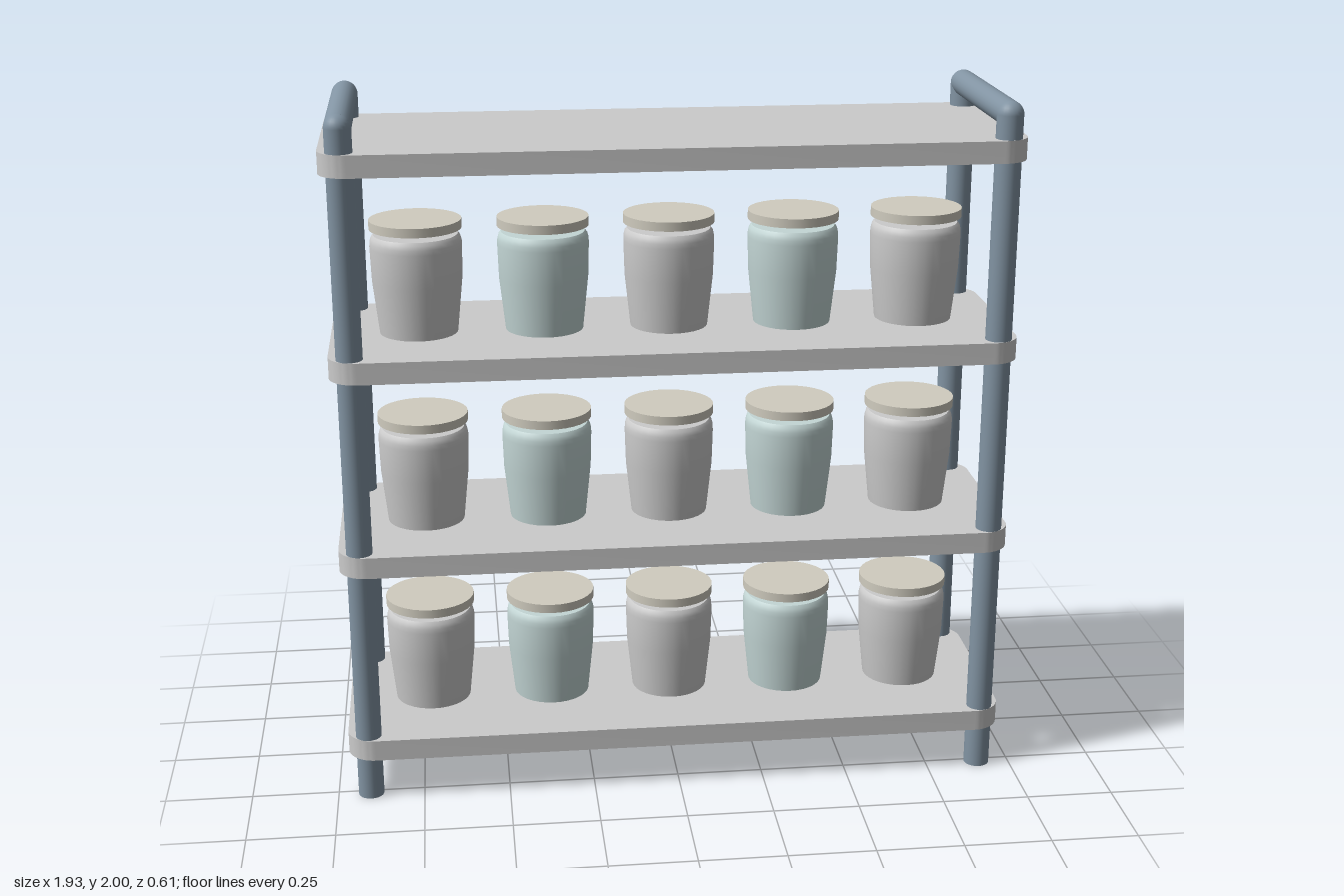
import * as THREE from 'three';
import { toCreasedNormals } from 'three/addons/utils/BufferGeometryUtils.js';

const POST_X = 0.905, POST_Z = 0.263, POST_R = 0.037, TOP_Y = 1.963;
const SHELF_W = 0.965, SHELF_D = 0.305, SHELF_T = 0.062, SHELF_CORNER = 0.08;
const SHELF_Y = [0.125, 0.695, 1.265, 1.835];

const grey = new THREE.MeshStandardMaterial({ color: 0xcccccc });
const steel = new THREE.MeshStandardMaterial({ color: 0x8294a3 });
const teal = new THREE.MeshStandardMaterial({ color: 0xc3d6d5 });
const cream = new THREE.MeshStandardMaterial({ color: 0xd0ccbf });

function addMesh(parent, name, geometry, material, x = 0, y = 0, z = 0) {
  const mesh = new THREE.Mesh(geometry, material);
  mesh.name = name;
  mesh.position.set(x, y, z);
  parent.add(mesh);
  return mesh;
}

// Rounded rectangle board lying flat, its underside at y = 0
function shelfGeometry() {
  const w = SHELF_W, d = SHELF_D, r = SHELF_CORNER;
  const shape = new THREE.Shape();
  shape.absarc(w - r, d - r, r, 0, Math.PI / 2);
  shape.absarc(-w + r, d - r, r, Math.PI / 2, Math.PI);
  shape.absarc(-w + r, -d + r, r, Math.PI, Math.PI * 1.5);
  shape.absarc(w - r, -d + r, r, Math.PI * 1.5, Math.PI * 2);
  const geometry = new THREE.ExtrudeGeometry(shape, { depth: SHELF_T, bevelEnabled: false, curveSegments: 8 });
  return toCreasedNormals(geometry.rotateX(-Math.PI / 2), 0.6);
}

// Tapered jar body with a small rounded shoulder, closed at both ends
function jarGeometry() {
  const profile = [
    [0, 0], [0.111, 0], [0.127, 0.15], [0.13, 0.25], [0.129, 0.264],
    [0.126, 0.276], [0.119, 0.285], [0, 0.285],
  ].map(([r, y]) => new THREE.Vector2(r, y));
  return toCreasedNormals(new THREE.LatheGeometry(profile, 32), 0.7);
}

export function createModel() {
  const model = new THREE.Group();
  model.name = 'jarRack';

  // Two end frames: a pair of posts joined by a handle bar with round elbows
  const postGeo = new THREE.CylinderGeometry(POST_R, POST_R, TOP_Y, 24);
  const barGeo = new THREE.CylinderGeometry(POST_R, POST_R, POST_Z * 2, 24).rotateX(Math.PI / 2);
  const elbowGeo = new THREE.SphereGeometry(POST_R, 24, 16);
  for (const side of [-1, 1]) {
    const frame = new THREE.Group();
    frame.name = side > 0 ? 'leftFrame' : 'rightFrame';
    frame.position.x = side * POST_X;
    for (const end of [-1, 1]) {
      const prefix = end > 0 ? 'front' : 'back';
      addMesh(frame, prefix + 'Post', postGeo, steel, 0, TOP_Y / 2, end * POST_Z);
      addMesh(frame, prefix + 'Elbow', elbowGeo, steel, 0, TOP_Y, end * POST_Z);
    }
    addMesh(frame, 'handleBar', barGeo, steel, 0, TOP_Y, 0);
    model.add(frame);
  }

  // Shelves, with a row of five jars on all but the top one
  const shelfGeo = shelfGeometry();
  const jarGeo = jarGeometry();
  const lidGeo = new THREE.CylinderGeometry(0.13, 0.13, 0.026, 32);
  SHELF_Y.forEach((y, level) => {
    addMesh(model, 'shelf' + (level + 1), shelfGeo, grey, 0, y, 0);
    if (level === SHELF_Y.length - 1) return;
    for (let i = 0; i < 5; i++) {
      const jar = new THREE.Group();
      jar.name = `jar${level + 1}_${i + 1}`;
      jar.position.set((i - 2) * 0.358, y + SHELF_T, 0);
      addMesh(jar, 'jarBody', jarGeo, i % 2 ? teal : grey);
      addMesh(jar, 'jarLid', lidGeo, cream, 0, 0.314, 0);
      model.add(jar);
    }
  });
  return model;
}
